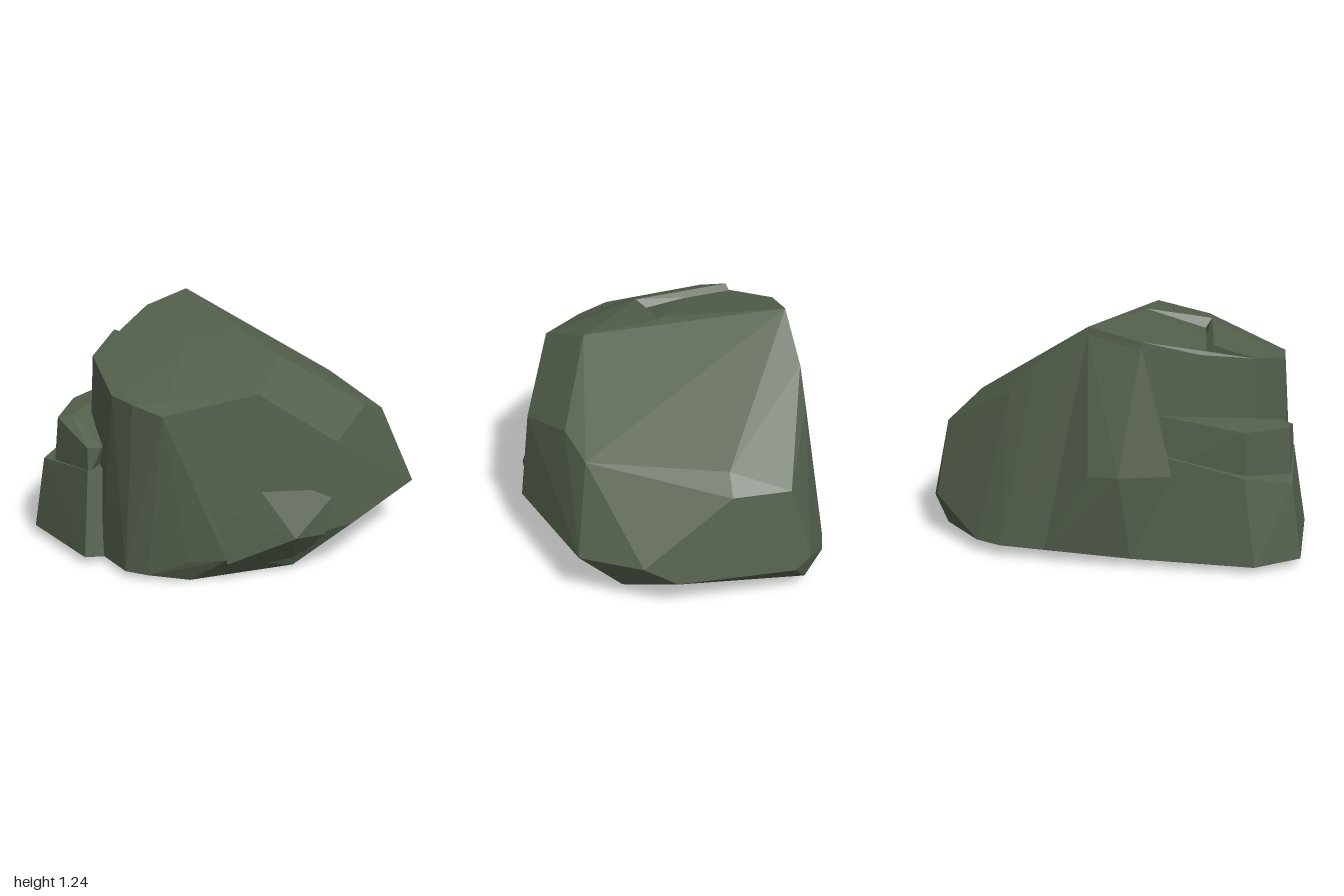
import * as THREE from 'three';
import { ConvexGeometry } from 'three/addons/geometries/ConvexGeometry.js';

export function createModel() {
  const group = new THREE.Group();
  const mossyStone = new THREE.MeshStandardMaterial({ color: 0x535f4c });
  mossyStone.name = 'mossy stone';

  // Each chunk of rock is the hull of its few chiselled corners.
  const chunk = (name, corners) => {
    const mesh = new THREE.Mesh(
      new ConvexGeometry(corners.map((c) => new THREE.Vector3(...c))), mossyStone);
    mesh.name = name;
    group.add(mesh);
  };

  // Main boulder
  chunk('boulderBody', [
    // ridge and top rim
    [0.09, 1.24, -0.65], [-0.18, 1.18, -0.65], [-0.45, 1.09, -0.51], [-0.71, 1.04, -0.35],
    [-0.82, 0.94, 0.03], [-0.8, 0.93, 0.2], [-0.73, 0.9, 0.37], [-0.31, 1.0, 0.6],
    [-0.04, 1.11, 0.42], [-0.06, 1.17, 0.0],
    // shoulders
    [0.08, 0.71, 0.75], [0.42, 0.8, 0.58], [0.61, 0.72, 0.5], [0.82, 0.72, -0.2],
    [0.36, 1.04, -0.67], [0.5, 0.88, -0.67], [0.91, 0.63, -0.5], [0.91, 0.62, -0.2],
    // waist
    [0.15, 0.26, 0.81], [0.8, 0.27, 0.57], [0.97, 0.28, 0.26], [1.0, 0.19, 0.09],
    [1.0, 0.2, -0.52], [0.95, 0.24, -0.61], [-0.5, 0.14, 0.59], [-0.65, 0.12, 0.46],
    // foot
    [-0.87, 0.03, 0.2], [-0.87, 0.03, -0.05], [-0.8, 0.03, 0.31], [-0.62, 0.0, 0.43],
    [-0.1, 0.02, 0.63], [0.81, 0.08, 0.35], [0.9, 0.08, -0.6], [0.68, 0.07, -0.76],
    [0.54, 0.07, -0.8], [-0.15, 0.05, -0.76], [-0.75, 0.05, -0.4], [-0.6, 0.0, 0.2],
  ]);

  // Raised rims around the shallow step in the top
  chunk('frontRim', [
    [-0.41, 1.12, 0.08], [-0.05, 1.17, 0.01], [-0.04, 1.11, 0.42], [-0.31, 1.0, 0.6],
    [-0.73, 0.9, 0.37], [-0.38, 1.07, 0.04], [-0.3, 0.9, 0.2],
  ]);
  chunk('sideRim', [
    [-0.51, 1.13, -0.46], [-0.41, 1.12, 0.08], [-0.71, 1.04, -0.35], [-0.82, 0.94, 0.03],
    [-0.73, 0.9, 0.37], [-0.45, 1.08, -0.48], [-0.38, 1.07, 0.04], [-0.55, 0.9, 0.0],
  ]);

  // Bulges low on the front and across the back
  chunk('frontBulge', [
    [-0.33, 0.5, 0.66], [-0.55, 0.43, 0.53], [-0.2, 0.25, 0.78], [0.0, 0.22, 0.77],
    [-0.5, 0.12, 0.6], [0.1, 0.45, 0.76], [-0.1, 0.03, 0.62], [-0.2, 0.3, 0.4],
  ]);
  chunk('backBulge', [
    [-0.1, 0.51, -0.81], [0.06, 0.51, -0.81], [0.09, 1.22, -0.65], [-0.18, 1.16, -0.65],
    [-0.15, 0.06, -0.77], [0.3, 0.07, -0.8], [-0.35, 0.5, -0.7], [0.0, 0.5, -0.3],
  ]);

  // Ledge leaning on the back corner, with a broken-off upper corner
  chunk('ledgeBase', [
    [-1, 0.05, -0.56], [-0.78, 0.04, -0.7], [-0.15, 0.05, -0.76], [-0.97, 0.04, -0.05],
    [-0.87, 0.03, -0.02], [-0.6, 0.03, -0.2], [-0.94, 0.45, -0.53], [-0.71, 0.5, -0.65],
    [-0.28, 0.6, -0.68], [-0.9, 0.5, -0.11], [-0.82, 0.5, -0.09], [-0.5, 0.5, -0.3],
  ]);
  chunk('ledgeTop', [
    [-0.28, 0.8, -0.65], [-0.7, 0.73, -0.61], [-0.9, 0.71, -0.42], [-0.84, 0.73, -0.36],
    [-0.89, 0.62, -0.12], [-0.82, 0.62, -0.09], [-0.71, 0.45, -0.62], [-0.92, 0.45, -0.44],
    [-0.9, 0.45, -0.11], [-0.28, 0.5, -0.68], [-0.5, 0.6, -0.3],
  ]);

  return group;
}
